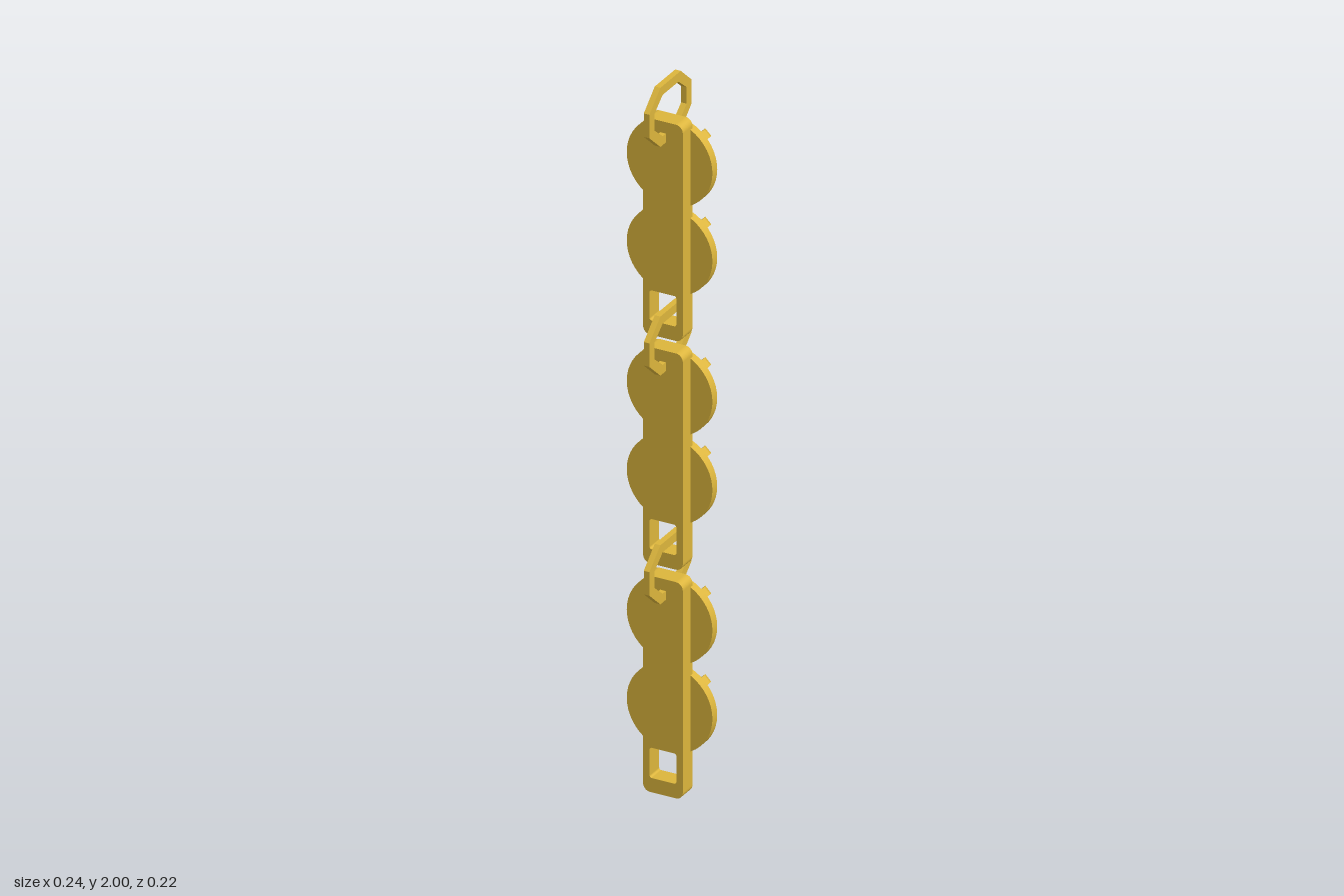
import * as THREE from 'three';

const gold = new THREE.MeshStandardMaterial({ color: 0xdcb53c });
const goldFlat = new THREE.MeshStandardMaterial({ color: 0xdcb53c, flatShading: true });
const red = new THREE.MeshStandardMaterial({ color: 0xc41e3a, flatShading: true });

const PITCH = 0.642, BAR_H = 0.607, BAR_W = 0.113, BAR_X = 0.003;

function roundedRect(path, x0, y0, x1, y1, r) {
  path.moveTo(x0 + r, y0);
  path.lineTo(x1 - r, y0).absarc(x1 - r, y0 + r, r, -Math.PI / 2, 0);
  path.lineTo(x1, y1 - r).absarc(x1 - r, y1 - r, r, 0, Math.PI / 2);
  path.lineTo(x0 + r, y1).absarc(x0 + r, y1 - r, r, Math.PI / 2, Math.PI);
  path.lineTo(x0, y0 + r).absarc(x0 + r, y0 + r, r, Math.PI, Math.PI * 1.5);
  return path;
}

// Extrusion centred on its depth
function slab(shape, depth) {
  return new THREE.ExtrudeGeometry(shape, { depth, bevelEnabled: false, curveSegments: 6 })
    .translate(0, 0, -depth / 2);
}

// Flat bar with a window at its lower end
function barGeometry() {
  const w = BAR_W / 2;
  const s = roundedRect(new THREE.Shape(), -w, 0, w, BAR_H, 0.02);
  s.holes.push(roundedRect(new THREE.Path(), -0.038, 0.04, 0.038, 0.125, 0.006));
  return slab(s, 0.05);
}

// Elongated octagonal ring lying in the yz plane
function ringGeometry() {
  const octagon = (a, b, c, d) => [[a, d], [c, b], [-c, b], [-a, d], [-a, -d], [-c, -b], [c, -b], [a, -d]]
    .map(([x, y]) => new THREE.Vector2(x, y));
  const s = new THREE.Shape(octagon(0.11, 0.083, 0.053, 0.033));
  s.holes.push(new THREE.Path(octagon(0.084, 0.058, 0.041, 0.023)));
  return slab(s, 0.016).rotateY(Math.PI / 2);
}

// Faceted stone: each row of points is turned half a step from the last
function gemGeometry() {
  const n = 12;
  const profile = [[0, 0.03], [0.085, 0.035], [0.103, 0.052], [0.092, 0.071], [0.064, 0.084], [0.03, 0.0895], [0, 0.091]];
  const g = new THREE.LatheGeometry(profile.map(([r, h]) => new THREE.Vector2(r, h)), n);
  const p = g.attributes.position, rows = profile.length;
  for (let i = 0; i < p.count; i++) {
    const turn = (i % rows) * Math.PI / n;
    const v = new THREE.Vector3().fromBufferAttribute(p, i).applyAxisAngle(new THREE.Vector3(0, 1, 0), turn);
    p.setXYZ(i, v.x, v.y, v.z);
  }
  return g.rotateX(-Math.PI / 2);
}

// Claw that rises from the disc and folds in over the stone
function prongGeometry() {
  const pts = [[0.09, 0.03], [0.119, 0.03], [0.119, 0.058], [0.1, 0.087], [0.075, 0.087], [0.09, 0.066]];
  const s = new THREE.Shape(pts.map(([x, y]) => new THREE.Vector2(x, y)));
  return slab(s, 0.024).rotateX(-Math.PI / 2);
}

export function createModel() {
  const model = new THREE.Group();
  model.name = 'gemBracelet';
  const geo = {
    bar: barGeometry(),
    ring: ringGeometry(),
    gem: gemGeometry(),
    prong: prongGeometry(),
    disc: new THREE.CylinderGeometry(0.122, 0.122, 0.025, 48).rotateX(Math.PI / 2),
    bridge: new THREE.BoxGeometry(0.04, 0.06, 0.014),
  };

  function add(parent, name, geometry, material, x, y, z) {
    const mesh = new THREE.Mesh(geometry, material);
    mesh.name = name;
    mesh.position.set(x, y, z);
    parent.add(mesh);
    return mesh;
  }

  // Disc, stone and four claws, all on the back of the bar
  function setting(y) {
    const g = new THREE.Group();
    g.name = 'gemSetting';
    g.position.y = y;
    add(g, 'disc', geo.disc, gold, 0, 0, -0.0275);
    const gem = add(g, 'gem', geo.gem, red, 0, 0, 0);
    // The stone is built along -z already
    gem.rotation.z = Math.PI / 12;
    for (let k = 0; k < 4; k++) {
      const prong = add(g, 'prong', geo.prong, goldFlat, 0, 0, 0);
      prong.rotation.z = Math.PI / 4 + k * Math.PI / 2;
    }
    return g;
  }

  for (let i = 0; i < 3; i++) {
    const link = new THREE.Group();
    link.name = 'link';
    link.position.y = i * PITCH;
    add(link, 'bar', geo.bar, gold, BAR_X, 0, 0);
    add(link, 'ring', geo.ring, goldFlat, BAR_X, 0.633, 0);
    add(link, 'bridge', geo.bridge, gold, 0, 0.35, -0.028);
    link.add(setting(0.225), setting(0.473));
    model.add(link);
  }
  return model;
}
